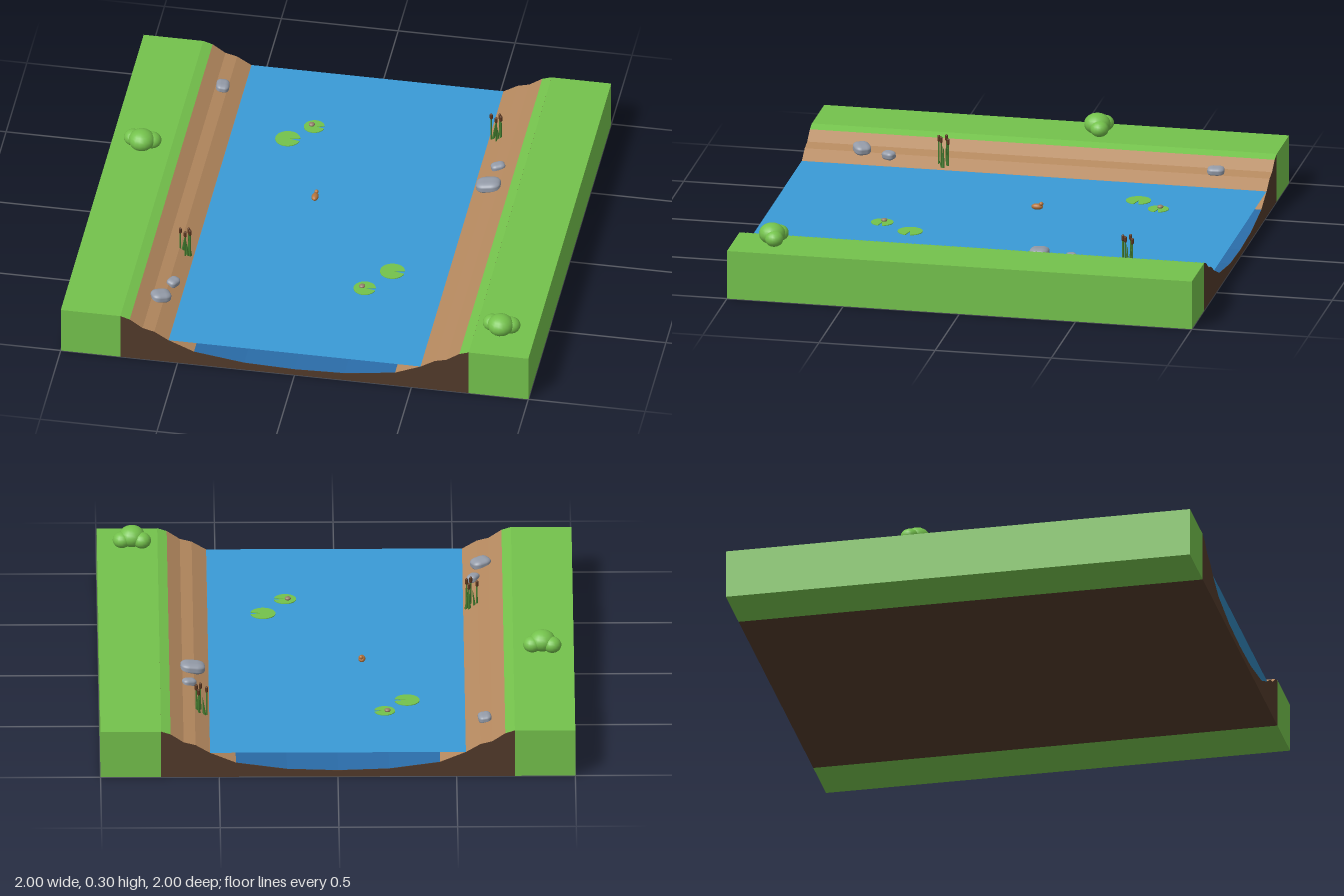
import * as THREE from 'three';
import { RoundedBoxGeometry } from 'three/addons/geometries/RoundedBoxGeometry.js';

const mat = (name, color, side = THREE.FrontSide) => {
  const m = new THREE.MeshStandardMaterial({ color, side });
  m.name = name;
  return m;
};

export function createModel() {
  const grass = mat('grass green', 0x74c24c);
  const dirt = mat('dark earth', 0x523a2a);
  const sand = mat('sandy brown', 0xb5895f);
  const water = mat('water blue', 0x3a9ad6, THREE.DoubleSide);
  const deep = mat('deep blue', 0x2a6ca8);
  const stone = mat('stone grey', 0x949ba8);
  const reed = mat('reed green', 0x457f30);
  const brown = mat('cattail brown', 0x5c3820);
  const feather = mat('feather brown', 0xb4743c);
  const bud = mat('bud', 0x94806a);

  const model = new THREE.Group();
  model.name = 'riverScene';
  const add = (name, geo, material, pos = [0, 0, 0], parent = model) => {
    const mesh = new THREE.Mesh(geo, material);
    mesh.name = name;
    mesh.position.set(...pos);
    parent.add(mesh);
    return mesh;
  };
  const group = (name, pos) => {
    const g = new THREE.Group();
    g.name = name;
    g.position.set(...pos);
    model.add(g);
    return g;
  };

  // Right half of the river cross-section, from the middle out to the bank
  const half = [[0, 0.028], [0.215, 0.035], [0.43, 0.065], [0.54, 0.111],
    [0.6, 0.147], [0.65, 0.16], [0.705, 0.197], [0.745, 0.21]];
  const mirror = pts => pts.map(([x, y]) => [-x, y]).reverse();
  const profile = [...mirror(half), ...half.slice(1)];

  // Earth block below the river
  const section = new THREE.Shape([[-0.745, 0], [0.745, 0], ...profile.slice().reverse()]
    .map(([x, y]) => new THREE.Vector2(x, y)));
  add('earthBed', new THREE.ExtrudeGeometry(section, { depth: 2, bevelEnabled: false }), dirt, [0, 0, -1]);

  // Ground surfaces that follow the cross-section, faceted
  const strip = (name, pts, material) => {
    const geo = new THREE.PlaneGeometry(2, 2, pts.length - 1, 1).rotateX(-Math.PI / 2);
    const p = geo.attributes.position;
    for (let i = 0; i < p.count; i++) {
      const [x, y] = pts[i % pts.length];
      p.setXY(i, x, y + 0.0015);
    }
    const flat = geo.toNonIndexed();
    flat.computeVertexNormals();
    add(name, flat, material);
  };
  strip('riverBottom', profile.slice(5, 10), deep);
  for (const [side, s] of [['left', 1], ['right', -1]]) {
    const pick = (a, b) => (s > 0 ? half.slice(a, b) : mirror(half.slice(a, b)));
    strip(side + 'Shore', pick(2, 7), sand);
    strip(side + 'GrassEdge', pick(6, 8), grass);
    add(side + 'Bank', new THREE.BoxGeometry(0.255, 0.211, 2), grass, [s * 0.8725, 0.1055, 0]);
  }

  // Water surface
  add('waterSurface', new THREE.PlaneGeometry(1.08, 2).rotateX(-Math.PI / 2), water, [0, 0.112, 0]);

  // Bushes: one large ball with two smaller ones behind it
  const ball = new THREE.SphereGeometry(1, 16, 12);
  for (const [x, z] of [[-0.867, -0.203], [0.853, 0.837]]) {
    const bush = group('bush', [x, 0.21, z]);
    for (const [bx, by, bz, r, h] of [[0, 0.043, 0, 0.056, 0.045],
      [-0.042, 0.034, -0.024, 0.039, 0.034], [0.042, 0.034, -0.018, 0.039, 0.034]]) {
      add('foliage', ball, grass, [bx, by, bz], bush).scale.set(r, h, r);
    }
  }

  // Rounded rocks on both shores: x, y, z, width, height, depth, turn
  const pebble = new RoundedBoxGeometry(1, 1, 1, 4, 0.36);
  for (const [x, y, z, w, h, d, turn] of [
    [-0.62, 0.162, -0.765, 0.056, 0.036, 0.072, 0.1],
    [0.622, 0.158, -0.403, 0.06, 0.036, 0.046, 0.4],
    [0.606, 0.163, -0.262, 0.104, 0.046, 0.083, 0.08],
    [-0.583, 0.148, 0.635, 0.046, 0.036, 0.058, -0.5],
    [-0.615, 0.16, 0.757, 0.084, 0.044, 0.071, 0.5]]) {
    const rock = add('rock', pebble, stone, [x, y, z]);
    rock.scale.set(w, h, d);
    rock.rotation.set(0, turn, x < 0 ? -0.12 : 0.12);
  }

  // Cattails: a ring of stems with brown heads and broad leaves between them
  const stems = [[-0.022, -0.006, 0.118], [0.004, 0.022, 0.122],
    [0.012, -0.02, 0.112], [0.022, 0.008, 0.122]];
  for (const [x, z, s] of [[0.572, -0.637, 1], [-0.575, 0.395, 1]]) {
    const clump = group('cattails', [x, 0.12, z]);
    stems.forEach(([dx, dz, h], i) => {
      add('stem', new THREE.CylinderGeometry(0.0035, 0.004, h, 6), reed, [s * dx, h / 2, dz], clump);
      add('cattailHead', new THREE.CapsuleGeometry(0.0065, 0.016, 4, 8), brown, [s * dx, h, dz], clump);
      const leaf = add('leaf', new THREE.ConeGeometry(0.008, h * 0.8, 5), reed,
        [s * dx * 0.6 + 0.005, h * 0.38, dz * 0.6 - 0.005], clump);
      leaf.rotation.z = i % 2 ? 0.1 : -0.1;
    });
  }

  // Lily pads with a notch; the smaller ones carry a bud
  for (const [x, z, r, hasBud] of [[-0.2, -0.605, 0.044, true], [-0.295, -0.5, 0.053, false],
    [0.305, 0.357, 0.053, false], [0.211, 0.497, 0.047, true]]) {
    const lily = group('lilyPad', [x, 0.118, z]);
    const disc = new THREE.Shape();
    disc.moveTo(r * 0.1, 0);
    disc.lineTo(r * Math.cos(0.2), r * Math.sin(0.2));
    disc.absarc(0, 0, r, 0.2, Math.PI * 2 - 0.2, false);
    disc.closePath();
    const geo = new THREE.ExtrudeGeometry(disc, { depth: 0.003, bevelEnabled: false, curveSegments: 24 });
    add('leafDisc', geo.rotateX(-Math.PI / 2), grass, [0, -0.002, 0], lily);
    if (hasBud) add('bud', ball, bud, [-0.012, 0.006, -0.006], lily).scale.set(0.013, 0.008, 0.013);
  }

  // Small duck on the water
  const duck = group('duck', [-0.108, 0.112, -0.105]);
  add('body', ball, feather, [0, 0.012, 0.002], duck).scale.set(0.015, 0.013, 0.025);
  add('head', ball, feather, [0.003, 0.026, -0.016], duck).scale.setScalar(0.009);

  return model;
}
